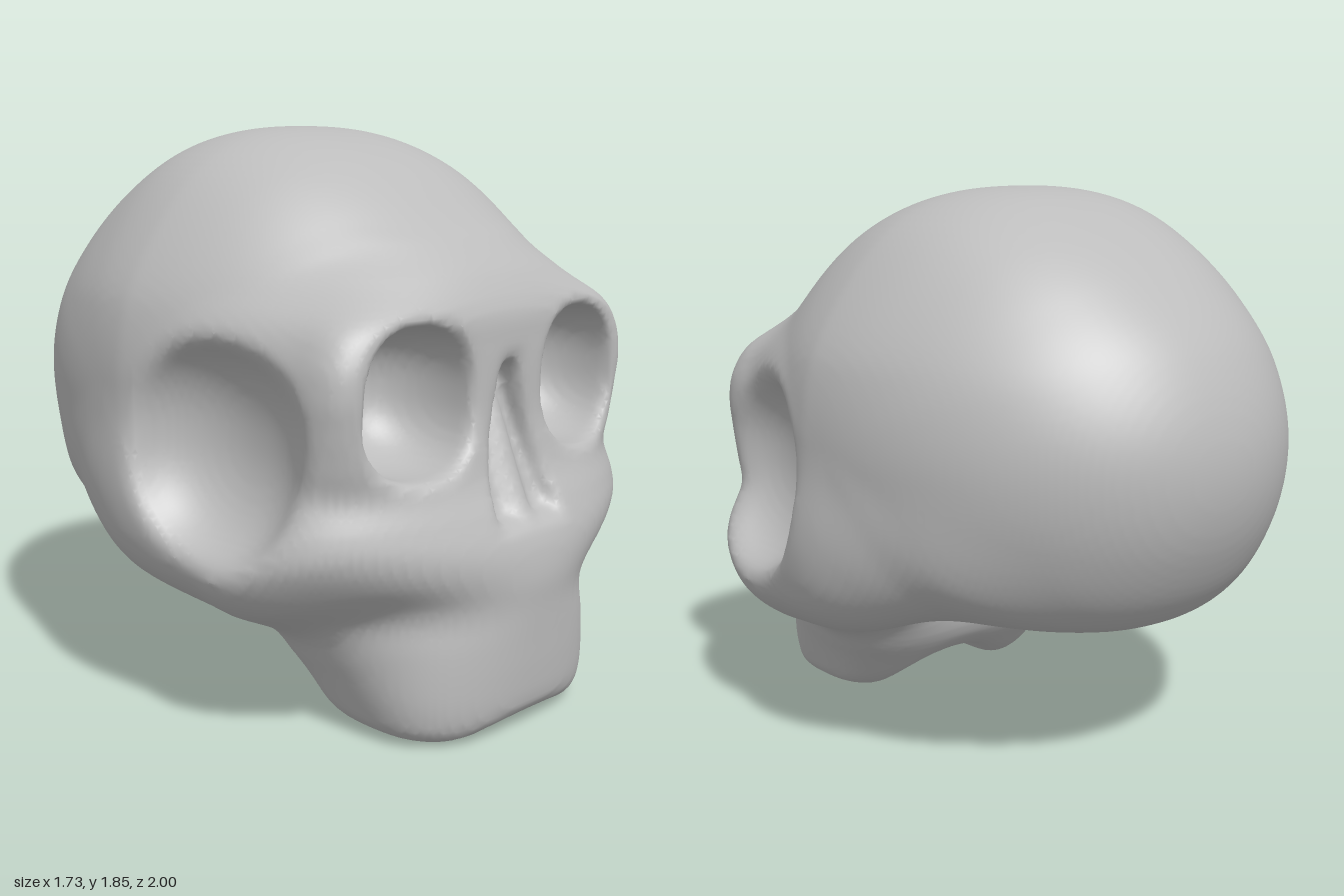
import * as THREE from 'three';

const STEP = 0.02;
const clamp01 = t => Math.min(1, Math.max(0, t));
const ramp = (a, b, v) => { const t = clamp01((v - a) / (b - a)); return t * t * (3 - 2 * t); };

// Smooth union and smooth cut of two fields (negative inside)
function join(a, b, k) {
  const h = Math.max(k - Math.abs(a - b), 0) / k;
  return Math.min(a, b) - h * h * k / 4;
}
const cut = (a, b, k) => -join(-a, b, k);

// Ellipsoid field; power above 2 makes it boxier
function ellipsoid(x, y, z, [cx, cy, cz], [rx, ry, rz], power = 2) {
  const q = Math.abs((x - cx) / rx) ** power + Math.abs((y - cy) / ry) ** power + Math.abs((z - cz) / rz) ** power;
  return (q ** (1 / power) - 1) * Math.min(rx, ry, rz);
}

// Smooth curve through evenly spaced values
function curve(list, t, closed = false) {
  const n = list.length;
  if (!closed) t = Math.min(n - 1, Math.max(0, t));
  const i = Math.floor(t), f = t - i;
  const at = j => list[closed ? (j + n) % n : Math.min(n - 1, Math.max(0, j))];
  const a = at(i - 1), b = at(i), c = at(i + 1), d = at(i + 2);
  return b + 0.5 * f * (c - a + f * (2 * a - 5 * b + 4 * c - d + f * (3 * (b - c) + d - a)));
}

// Side outline of the braincase: radius every 20 degrees, from the front over the top
const OUTLINE = [0.9, 0.94, 0.86, 0.825, 0.803, 0.787, 0.775, 0.8, 0.86,
  0.9, 0.89, 0.84, 0.67, 0.6, 0.66, 0.75, 0.78, 0.85];

function braincase(x, y, z) {
  const dy = y - 1.05, dz = z + 0.1;
  const angle = (Math.atan2(dy, dz) / (Math.PI * 2) + 1) % 1;
  const p = Math.hypot(dy, dz) / curve(OUTLINE, angle * 18, true);
  // flatter on top, narrower behind, boxy only low at the sides of the base
  const crown = ramp(1.3, 1.7, y);
  const power = 2.2 + 0.3 * crown + 2 * ramp(1.0, 0.5, y) * ramp(-0.75, 0, z);
  const halfWidth = 0.84 - 0.08 * crown - 0.13 * clamp01(-z);
  return ((p ** power + (x / halfWidth) ** power) ** (1 / power) - 1) * 0.8;
}

// Face cross-sections every 0.1 upwards: half width, front, back, squareness
const HALF_WIDTH = [0.42, 0.445, 0.485, 0.55, 0.74, 0.825, 0.82, 0.78, 0.735, 0.72, 0.715, 0.715, 0.695, 0.63, 0.47, 0.3];
const FRONT = [0.95, 0.975, 0.985, 0.99, 0.995, 1.0, 0.985, 0.945, 0.895, 0.87, 0.855, 0.85, 0.845, 0.835, 0.76, 0.65];
const BACK = [0.43, 0.35, 0.26, 0.16, 0.02, -0.1, -0.15, -0.1, 0, 0.1, 0.2, 0.2, 0.2, 0.2, 0.2, 0.2];
const SQUARE = [2.7, 2.6, 2.5, 2.4, 2.2, 2.1, 2.3, 2.5, 3, 4, 5, 6, 6, 4.5, 3, 2.5];

function face(x, y, z) {
  const t = y * 10;
  // the lower edge of the cheekbone climbs towards the front
  const climb = 1.4 * ramp(0.35, 0.9, z) * ramp(0.1, 0.4, y) * ramp(0.85, 0.6, y);
  const w = curve(HALF_WIDTH, t - climb), front = curve(FRONT, t), back = curve(BACK, t);
  const depth = (front - back) / 2, mid = (front + back) / 2;
  // squarer towards the rear corners
  const n = curve(SQUARE, t) + 1.5 * ramp(mid, back, z);
  const side = (((x / w) ** n + Math.abs((z - mid) / depth) ** n) ** (1 / n) - 1) * Math.min(w, depth);
  const bottom = 0.025 * (1 - ramp(0.1, 0.3, x)) - y;
  return cut(cut(side, -bottom, 0.08), 1.45 - y, 0.06);
}

// Tapered nose opening with a low ridge down its middle
function noseOpening(x, y, z) {
  const halfWidth = 0.035 + 0.11 * clamp01((1.13 - y) / 0.45);
  const floor = 0.89 - 0.42 * (y - 0.67) + 0.05 * (1 - ramp(0, 0.08, x));
  const ends = cut(y - 1.14, y - 0.67, 0.04);
  return cut(cut(x - halfWidth, -ends, 0.05), z - floor, 0.05);
}

function skullField(px, y, z) {
  const x = Math.abs(px);
  let d = join(braincase(x, y, z), face(x, y, z), 0.1);
  // bulge behind the cheek arch
  d = join(d, ellipsoid(x, y, z, [0.6, 0.74, 0.02], [0.25, 0.32, 0.36]), 0.1);
  // hollows: skull base, palate, temple, eye socket, nose
  d = cut(d, ellipsoid(x, y, z, [0, 0.36, -0.12], [0.46, 0.16, 0.36]), 0.14);
  d = cut(d, ellipsoid(x, y, z, [0, 0.02, 0.48], [0.16, 0.1, 0.28]), 0.1);
  d = cut(d, ellipsoid(x, y, z, [0.92, 0.92, 0.4], [0.31, 0.35, 0.34], 2.2), 0.04);
  d = cut(d, ellipsoid(x, y, z, [0.383, 1.055, 0.81], [0.212, 0.222, 0.31], 2.4), 0.04);
  return cut(d, noseOpening(x, y, z), 0.05);
}

// Skin a field: one vertex per crossed cell, one quad per crossed grid edge
function skin(field, min, max) {
  const size = min.map((m, a) => Math.ceil((max[a] - m) / STEP) + 1);
  const stride = [1, size[0], size[0] * size[1]];
  const total = stride[2] * size[2];
  const value = new Float32Array(total), vertex = new Int32Array(total).fill(-1);
  const positions = [], index = [];
  const eachCell = (margin, visit) => {
    for (let k = margin; k < size[2] - margin; k++)
      for (let j = margin; j < size[1] - margin; j++)
        for (let i = margin; i < size[0] - margin; i++)
          visit(i + j * stride[1] + k * stride[2], [i, j, k]);
  };
  eachCell(0, (id, c) => {
    value[id] = field(min[0] + c[0] * STEP, min[1] + c[1] * STEP, min[2] + c[2] * STEP);
  });
  const corner = n => (n & 1) * stride[0] + (n >> 1 & 1) * stride[1] + (n >> 2) * stride[2];
  const corners = [0, 1, 2, 3, 4, 5, 6, 7].map(corner);
  const sum = [0, 0, 0];
  eachCell(0, (id, c) => {
    if (c.some((v, a) => v >= size[a] - 1)) return;
    let count = 0;
    sum.fill(0);
    for (let n = 0; n < 8; n++) for (let a = 0; a < 3; a++) {
      if (n >> a & 1) continue;
      const u = value[id + corners[n]], v = value[id + corners[n | 1 << a]];
      if ((u < 0) === (v < 0)) continue;
      for (let b = 0; b < 3; b++) sum[b] += b === a ? u / (u - v) : n >> b & 1;
      count++;
    }
    if (!count) return;
    vertex[id] = positions.length / 3;
    for (let a = 0; a < 3; a++) positions.push(min[a] + (c[a] + sum[a] / count) * STEP);
  });
  eachCell(1, id => {
    for (let a = 0; a < 3; a++) {
      const inside = value[id] < 0;
      if (inside === (value[id + stride[a]] < 0)) continue;
      const b = stride[(a + 1) % 3], c = stride[(a + 2) % 3];
      const q = [id - b - c, id - c, id, id - b].map(n => vertex[n]);
      if (!inside) q.reverse();
      index.push(q[0], q[1], q[2], q[0], q[2], q[3]);
    }
  });
  const geometry = new THREE.BufferGeometry();
  geometry.setAttribute('position', new THREE.Float32BufferAttribute(positions, 3));
  geometry.setIndex(index);
  geometry.computeVertexNormals();
  return geometry;
}

export function createModel() {
  const bone = new THREE.MeshStandardMaterial({ color: 0xbcbcbc });
  bone.name = 'bone grey';

  const skull = new THREE.Mesh(skin(skullField, [-0.97, -0.111, -1.111], [0.97, 1.969, 1.109]), bone);
  skull.name = 'skull';
  const model = new THREE.Group();
  model.name = 'skullModel';
  model.add(skull);
  return model;
}
